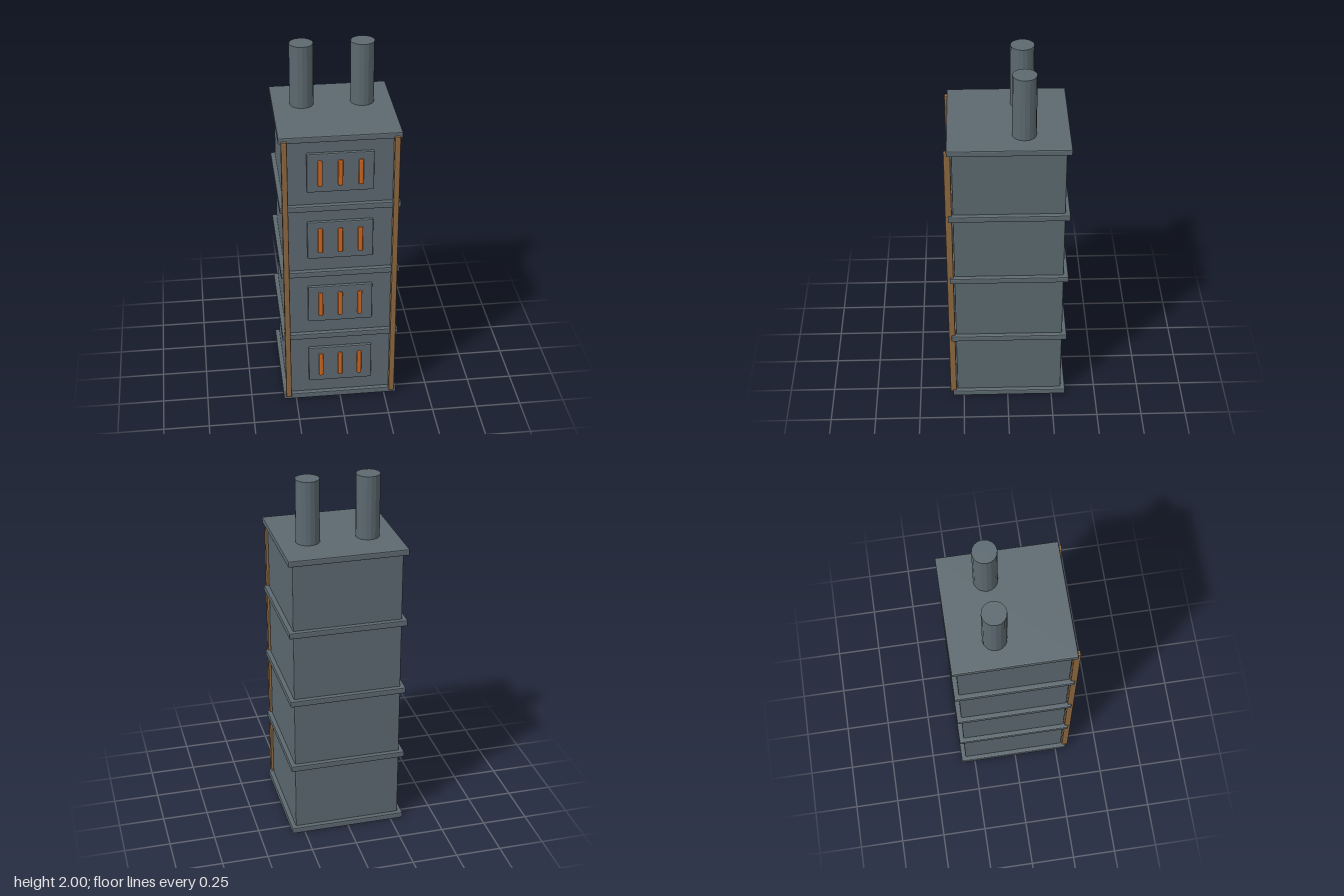
import * as THREE from 'three';
import { RoundedBoxGeometry } from 'three/addons/geometries/RoundedBoxGeometry.js';

export function createModel() {
  const model = new THREE.Group();
  model.name = 'furnaceTower';

  const slate = new THREE.MeshStandardMaterial({ name: 'slate metal', color: 0x5c6970, flatShading: true });
  const bronze = new THREE.MeshStandardMaterial({ name: 'bronze trim', color: 0x8c6840, flatShading: true });
  const ember = new THREE.MeshStandardMaterial({ name: 'ember orange', color: 0xcc651f, flatShading: true });

  const add = (name, geometry, material, x, y, z) => {
    const mesh = new THREE.Mesh(geometry, material);
    mesh.name = name;
    mesh.position.set(x, y, z);
    model.add(mesh);
    return mesh;
  };
  const bevelBox = (w, h, d, r) => new RoundedBoxGeometry(w, h, d, 1, r);

  const levels = 4;
  const step = 0.405;
  const base = 0.017;
  const midZ = -0.008;

  // Square casing of the tower
  add('casing', bevelBox(0.592, levels * step, 0.592, 0.006), slate, 0, base + levels * step / 2, midZ);

  // Flanges below, between and above the levels
  const flange = bevelBox(0.642, 0.034, 0.642, 0.006);
  for (let i = 0; i <= levels; i++) add('flange', flange, slate, 0, base + i * step, midZ);

  // Front panel with three glowing slots on each level
  const panel = bevelBox(0.352, 0.224, 0.03, 0.006);
  const slot = bevelBox(0.026, 0.148, 0.03, 0.007);
  for (let i = 0; i < levels; i++) {
    const y = 0.224 + i * step;
    add('frontPanel', panel, slate, 0, y, 0.29);
    for (const x of [-0.107, 0, 0.107]) add('glowSlot', slot, ember, x, y, 0.301);
  }

  // Corner trims and chimney pipes, mirrored
  const trim = bevelBox(0.031, 1.614, 0.036, 0.006);
  const pipe = new THREE.CylinderGeometry(0.064, 0.064, 0.37, 16);
  for (const side of [-1, 1]) {
    add('cornerTrim', trim, bronze, side * 0.292, 0.828, 0.31);
    add('chimneyPipe', pipe, slate, side * 0.162, 1.815, -0.089);
  }

  return model;
}
